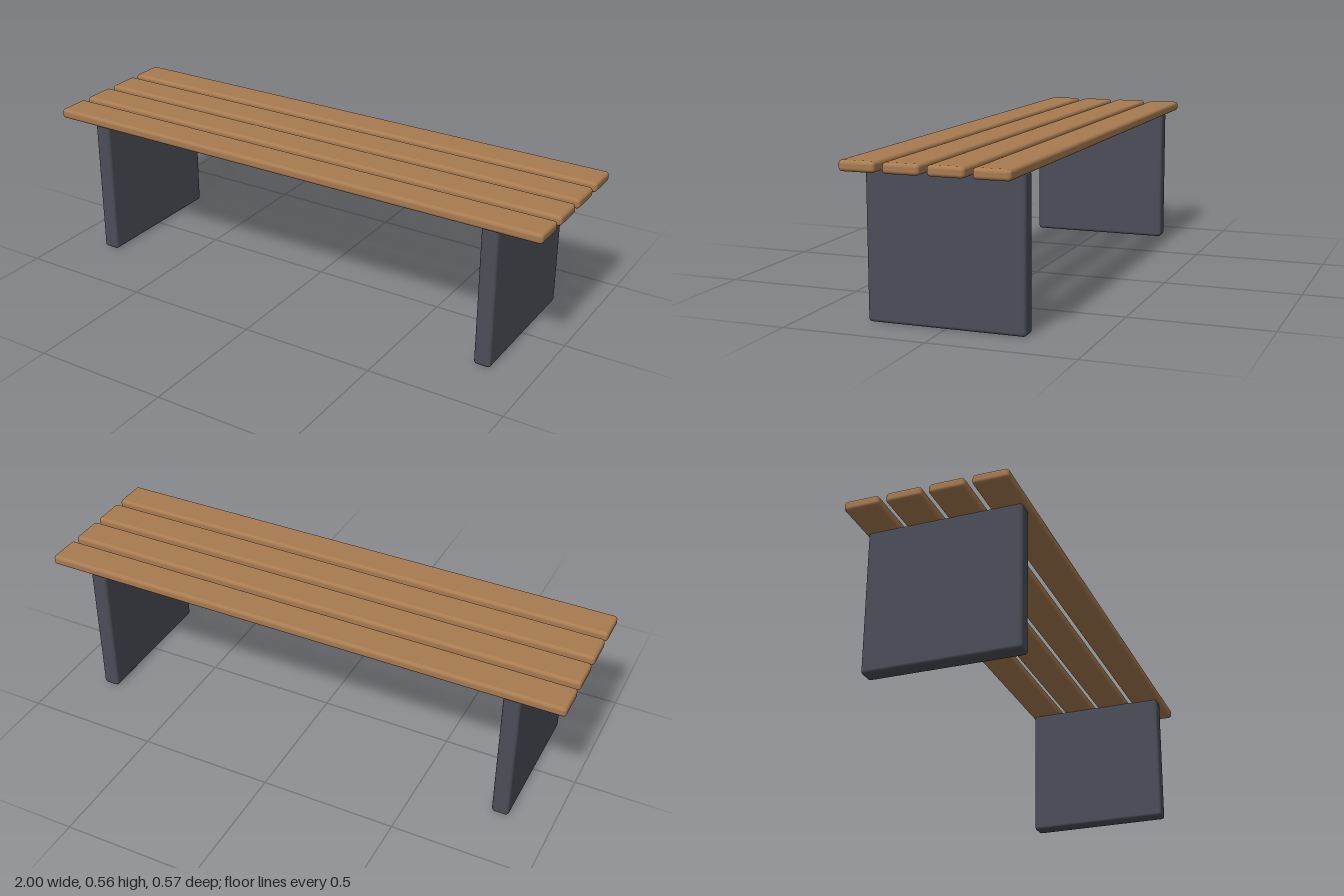
import * as THREE from 'three';
import { RoundedBoxGeometry } from 'three/addons/geometries/RoundedBoxGeometry.js';

export function createModel() {
  const bench = new THREE.Group();
  bench.name = 'bench';

  const wood = new THREE.MeshStandardMaterial({ color: 0xa87b50 });
  wood.name = 'warm wood';
  const slate = new THREE.MeshStandardMaterial({ color: 0x4a4e57 });
  slate.name = 'slate grey';

  const add = (name, geometry, material, x, y, z) => {
    const mesh = new THREE.Mesh(geometry, material);
    mesh.name = name;
    mesh.position.set(x, y, z);
    bench.add(mesh);
  };

  // Four seat slats with softened edges
  const slat = new RoundedBoxGeometry(2, 0.0365, 0.125, 3, 0.0125);
  for (let i = 0; i < 4; i++) {
    add(`seatSlat${i + 1}`, slat, wood, 0, 0.538, (i - 1.5) * 0.15);
  }

  // Two slab legs, rising slightly into the slats
  const leg = new RoundedBoxGeometry(0.0625, 0.525, 0.55, 3, 0.0125);
  for (const [name, side] of [['leftLeg', 1], ['rightLeg', -1]]) {
    add(name, leg, slate, side * 0.8125, 0.2625, 0);
  }

  return bench;
}
